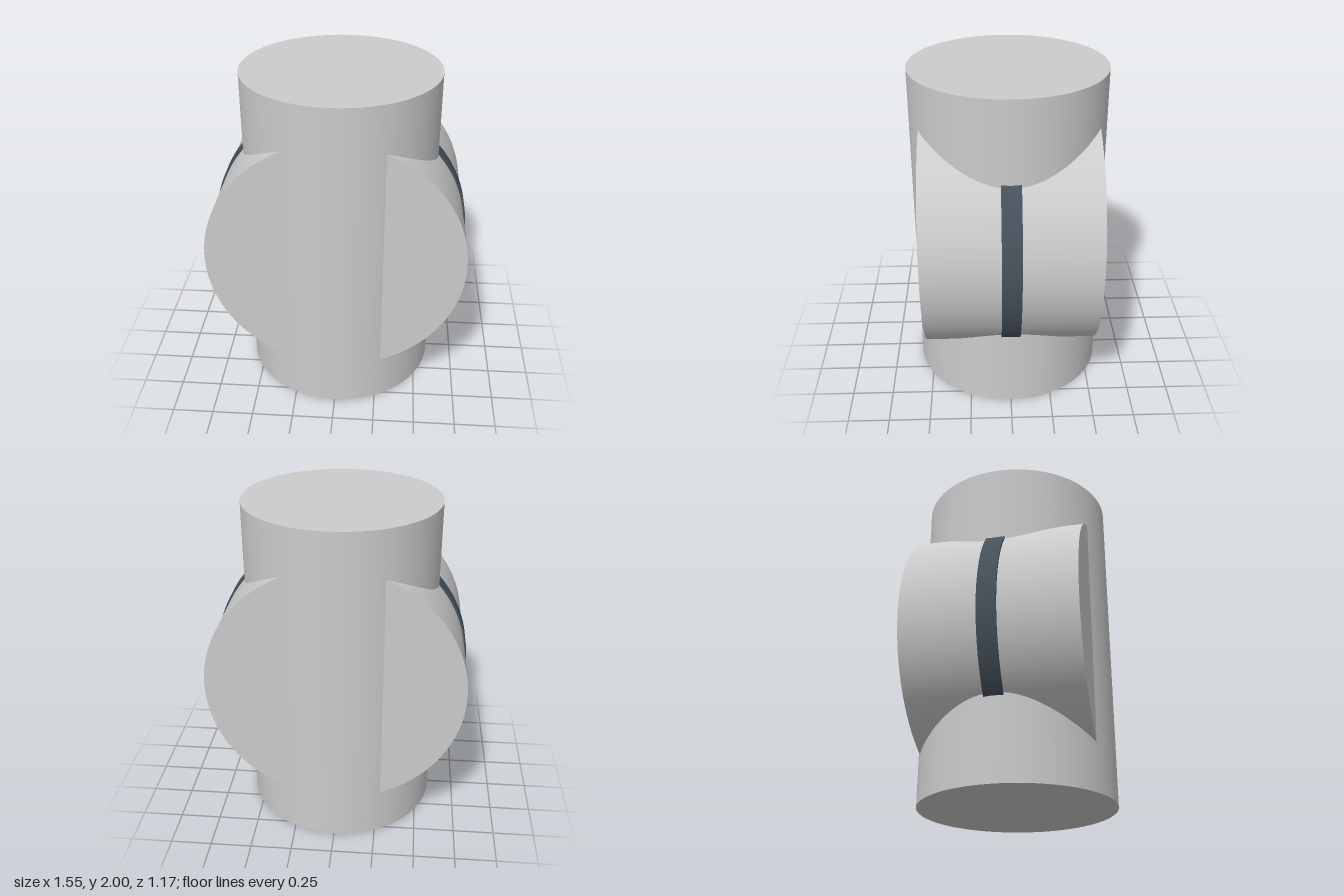
import * as THREE from 'three';

export function createModel() {
  const group = new THREE.Group();
  const grey = new THREE.MeshStandardMaterial({ color: 0xcccccc });
  const dark = new THREE.MeshStandardMaterial({ color: 0x46525c });

  function addCylinder(name, radius, length, material, alongZ = false) {
    const geometry = new THREE.CylinderGeometry(radius, radius, length, 128);
    if (alongZ) geometry.rotateX(Math.PI / 2);
    const mesh = new THREE.Mesh(geometry, material);
    mesh.name = name;
    mesh.position.y = 1;
    group.add(mesh);
  }

  // Upright post
  addCylinder('verticalCylinder', 0.587, 2, grey);
  // Wider drum crossing it from front to back
  addCylinder('crossDrum', 0.765, 1.03, grey, true);
  // Thin dark band around the middle of the drum
  addCylinder('drumBand', 0.777, 0.114, dark, true);

  return group;
}
